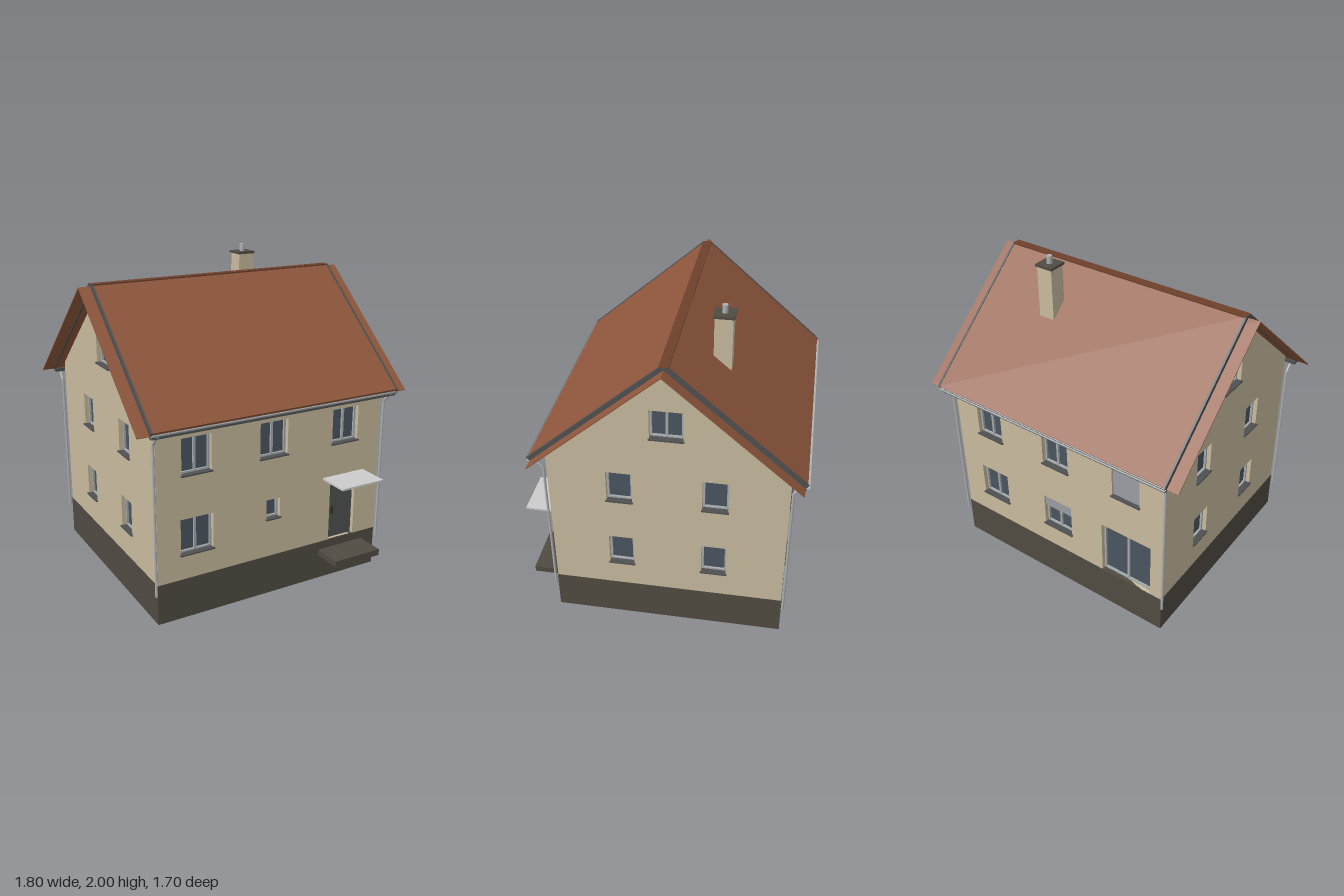
import * as THREE from 'three';

const mat = (color, side = THREE.FrontSide) => new THREE.MeshStandardMaterial({ color, side });
const M = {
  wall: mat(0xc8ba9e), base: mat(0x504b42), roof: mat(0x8f573c), ridge: mat(0x6e402c),
  dark: mat(0x4f5051), glass: mat(0x4a555f), frame: mat(0xa6abae), shutter: mat(0x9a9da2),
  metal: mat(0xaeb0b2, THREE.DoubleSide), canopy: mat(0xbcbcbc),
};
const ZC = -0.05, HX = 0.77, HZ = 0.70, SLOPE = 0.865, WALL = 0.06;

function add(parent, name, geometry, material, x = 0, y = 0, z = 0) {
  const mesh = new THREE.Mesh(geometry, material);
  mesh.name = name;
  mesh.position.set(x, y, z);
  parent.add(mesh);
  return mesh;
}
const box = (parent, name, material, w, h, d, x, y, z) =>
  add(parent, name, new THREE.BoxGeometry(w, h, d), material, x, y, z);

function polygon(points) {
  return new THREE.Shape(points.map(([x, y]) => new THREE.Vector2(x, y)));
}

// Recessed window: glass, frame bars, mullion, sill and an optional roller shutter
function addWindow(parent, o) {
  const g = new THREE.Group();
  g.name = o.name || 'window';
  g.position.set(o.x, o.y, 0);
  parent.add(g);
  const { w, h } = o, t = 0.012, cy = h / 2;
  box(g, 'glass', M.glass, w, h, 0.01, 0, cy, -0.045);
  for (const s of [-1, 1]) {
    box(g, 'frameSide', M.frame, t, h, 0.02, s * (w - t) / 2, cy, -0.037);
    box(g, 'frameRail', M.frame, w - 2 * t, t, 0.02, 0, cy + s * (h - t) / 2, -0.037);
  }
  if (o.double) box(g, 'mullion', M.frame, 0.014, h - 2 * t, 0.02, 0, cy, -0.037);
  if (o.shutter) {
    const sh = h * o.shutter;
    box(g, 'rollerShutter', M.shutter, w, sh, 0.012, 0, h - sh / 2, -0.02);
  }
  if (!o.noSill) box(g, 'sill', M.dark, w + 0.012, 0.008, 0.055, 0, -0.002, -0.016);
}

// Front door leaf with handle
function addDoor(parent, o) {
  const g = new THREE.Group();
  g.name = 'frontDoor';
  g.position.set(o.x, o.y, 0);
  parent.add(g);
  box(g, 'doorLeaf', M.dark, o.w, o.h, 0.02, 0, o.h / 2, -0.035);
  box(g, 'doorHandle', mat(0x2c2c2c), 0.008, 0.05, 0.015, -o.w / 2 + 0.035, 0.19, -0.02);
}

// One wall with cut openings; local x runs to the right seen from outside
function facade(parent, name, outline, openings, x, z, turn) {
  const g = new THREE.Group();
  g.name = name;
  g.position.set(x, 0, z);
  g.rotation.y = turn;
  parent.add(g);
  const shape = polygon(outline);
  for (const o of openings) {
    const l = o.x - o.w / 2, r = o.x + o.w / 2;
    shape.holes.push(new THREE.Path(
      [[l, o.y], [l, o.y + o.h], [r, o.y + o.h], [r, o.y]].map(([a, b]) => new THREE.Vector2(a, b))));
    (o.door ? addDoor : addWindow)(g, o);
  }
  add(g, name + 'Wall', new THREE.ExtrudeGeometry(shape, { depth: WALL, bevelEnabled: false }),
    M.wall, 0, 0, -WALL);
}

// Gabled layer: chevron section with square-cut eaves, extruded along x
function gableLayer(parent, name, material, top, thick, half, length, x = 0, flat = 0) {
  const inner = half - thick * SLOPE / (1 + SLOPE * SLOPE);
  const right = [[half, top - SLOPE * half], [flat, top - SLOPE * flat]];
  const pts = [
    [0, top - thick], [inner, top - thick - SLOPE * inner], ...right,
    ...(flat ? right.slice().reverse().map(([a, b]) => [-a, b]) : [[-half, top - SLOPE * half]]),
    [-inner, top - thick - SLOPE * inner],
  ];
  const geo = new THREE.ExtrudeGeometry(polygon(pts), { depth: length, bevelEnabled: false });
  geo.translate(0, 0, -length / 2);
  geo.rotateY(Math.PI / 2);
  return add(parent, name, geo, material, x, 0, ZC);
}

export function createModel() {
  const house = new THREE.Group();
  house.name = 'house';

  box(house, 'plinth', M.base, 1.545, 0.25, 1.405, 0, 0.125, ZC);

  // Walls and openings
  const apex = 1.84, eave = apex - SLOPE * HZ, y0 = 0.245;
  const longWall = [[-HX, y0], [HX, y0], [HX, eave], [-HX, eave]];
  const gableWall = [[-HZ, y0], [HZ, y0], [HZ, eave], [0, apex], [-HZ, eave]];
  const upper = { y: 0.89, w: 0.19, h: 0.22, double: true };
  const lower = { y: 0.405, w: 0.21, h: 0.22, double: true };

  facade(house, 'front', longWall, [
    ...[-0.515, -0.005, 0.508].map(x => ({ ...upper, x })),
    { ...lower, x: -0.515 },
    { x: -0.003, y: 0.495, w: 0.095, h: 0.125 },
    { x: 0.508, y: 0.25, w: 0.19, h: 0.37, door: true },
  ], 0, ZC + HZ, 0);

  facade(house, 'back', longWall, [
    { ...upper, x: -0.508 }, { ...upper, x: 0.005 }, { ...upper, x: 0.515, shutter: 1 },
    { ...lower, x: -0.508 }, { ...lower, x: 0.005, shutter: 0.38 },
    { name: 'terraceDoor', x: 0.515, y: 0.25, w: 0.35, h: 0.37, double: true, noSill: true },
  ], 0, ZC - HZ, Math.PI);

  const gableOpenings = [{ x: 0, y: 1.375, w: 0.19, h: 0.185, double: true }];
  for (const x of [-0.28, 0.28])
    for (const y of [0.42, 0.905]) gableOpenings.push({ x, y, w: 0.15, h: 0.205 });
  for (const s of [-1, 1])
    facade(house, s > 0 ? 'leftGable' : 'rightGable', gableWall, gableOpenings, s * HX, ZC, s * Math.PI / 2);

  // Roof: wide thin sheet, tile layer above it, verge boards and ridge cap
  gableLayer(house, 'roofSheet', M.roof, 1.853, 0.008, 0.772, 1.8);
  gableLayer(house, 'roofTiles', M.roof, 1.882, 0.03, 0.785, 1.64, 0, 0.02);
  for (const s of [-1, 1])
    gableLayer(house, 'vergeBoard', M.dark, 1.887, 0.047, 0.79, 0.012, s * 0.822, 0.025);
  box(house, 'ridgeCap', M.ridge, 1.65, 0.02, 0.054, 0, 1.857, ZC);

  // Gutters, eave boards and downpipes on both long sides
  for (const s of [-1, 1]) {
    box(house, 'eaveBoard', M.dark, 1.64, 0.02, 0.03, 0, 1.172, ZC + s * 0.762);
    const gutter = add(house, 'gutter',
      new THREE.CylinderGeometry(0.014, 0.014, 1.65, 12, 1, true, Math.PI, Math.PI),
      M.metal, 0, 1.192, ZC + s * 0.784);
    gutter.rotation.z = Math.PI / 2;
    for (const x of [-0.785, 0.785]) {
      const p = [[0.19, 0.712], [1.11, 0.712], [1.18, 0.78]]
        .map(([y, d]) => new THREE.Vector3(x, y, ZC + s * d));
      const path = new THREE.CurvePath();
      path.add(new THREE.LineCurve3(p[0], p[1]));
      path.add(new THREE.LineCurve3(p[1], p[2]));
      add(house, 'downpipe', new THREE.TubeGeometry(path, 60, 0.008, 8), M.metal);
    }
  }

  // Chimney
  box(house, 'chimney', M.wall, 0.104, 0.5, 0.104, 0.335, 1.69, -0.305);
  box(house, 'chimneyCap', M.base, 0.12, 0.014, 0.12, 0.335, 1.945, -0.305);
  add(house, 'fluePipe', new THREE.CylinderGeometry(0.017, 0.017, 0.05, 16), M.metal, 0.335, 1.975, -0.305);

  // Entrance canopy and step
  box(house, 'entranceCanopy', M.canopy, 0.305, 0.012, 0.2, 0.508, 0.674, 0.75);
  box(house, 'entranceStep', M.base, 0.335, 0.04, 0.19, 0.508, 0.178, 0.74);

  return house;
}
